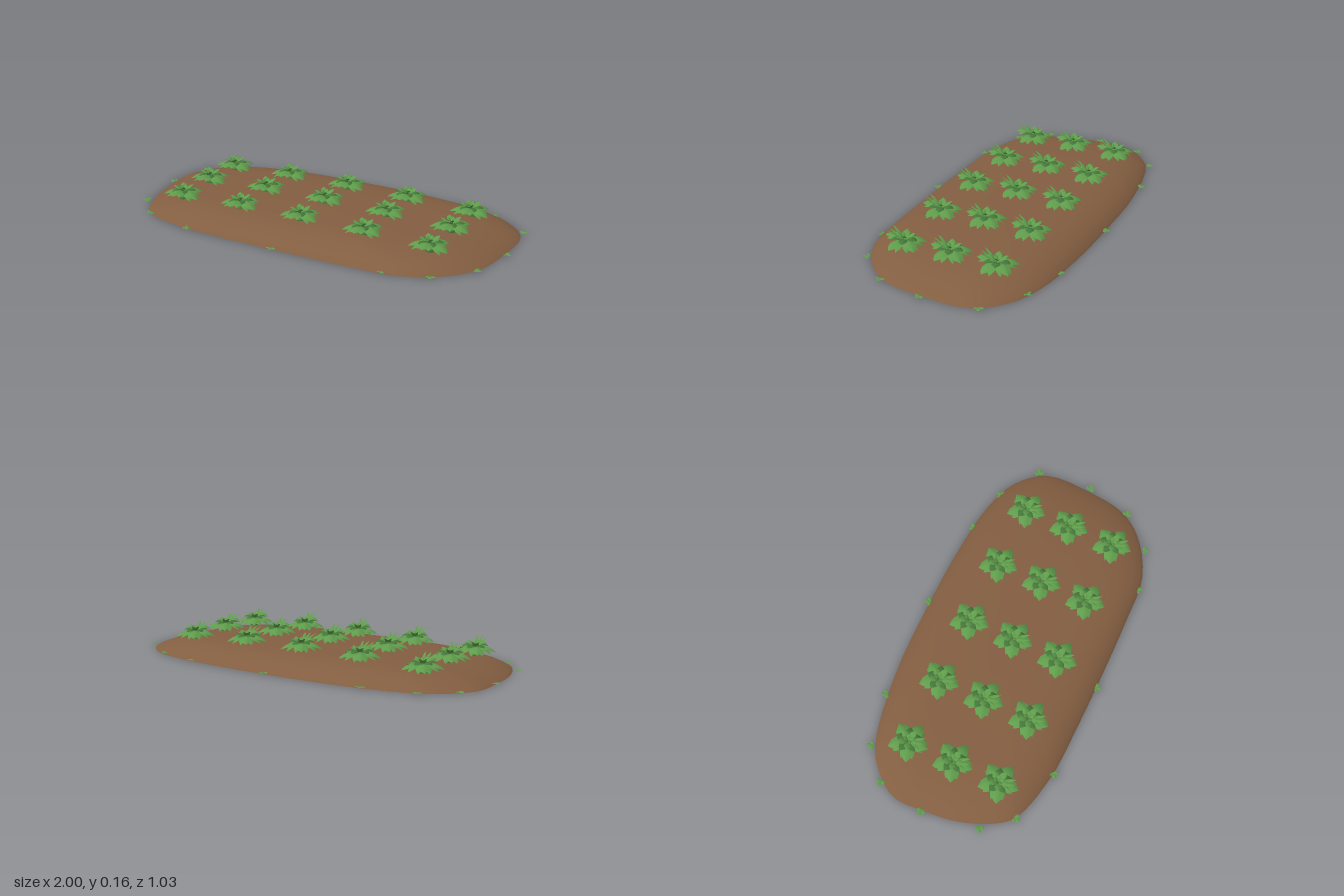
import * as THREE from 'three';
import { mergeGeometries } from 'three/addons/utils/BufferGeometryUtils.js';

const soil = new THREE.MeshStandardMaterial({ color: 0x835e41, name: 'soil brown' });
const leafGreen = new THREE.MeshStandardMaterial({ color: 0x5f9c4b, name: 'leaf green', side: THREE.DoubleSide });
const darkGreen = new THREE.MeshStandardMaterial({ color: 0x44763a, name: 'dark green', side: THREE.DoubleSide });

// Rounded outline of the soil bed, as x, z pairs
const outline = [
  [0.955, 0], [0.95, -0.24], [0.83, -0.385], [0.645, -0.455], [0.375, -0.487], [0, -0.495],
  [-0.4, -0.48], [-0.785, -0.4], [-0.92, -0.29], [-0.975, -0.19], [-0.972, -0.05], [-0.95, 0.13],
  [-0.88, 0.305], [-0.81, 0.385], [-0.56, 0.455], [-0.29, 0.47], [0.35, 0.47], [0.62, 0.45],
  [0.83, 0.33], [0.92, 0.2],
];

// Low dome: rings of the outline shrunk toward the centre, plus a flat underside
function moundGeometry() {
  const curve = new THREE.CatmullRomCurve3(outline.map(([x, z]) => new THREE.Vector3(x, 0, z)), true);
  const ring = curve.getPoints(80).slice(0, 80);
  const n = ring.length;
  const profile = [[0.25, 0.084], [0.5, 0.08], [0.68, 0.072], [0.82, 0.058], [0.92, 0.034], [0.98, 0.012], [1, 0]];
  const pos = [0, 0.085, 0];
  const index = [];
  for (const [t, y] of profile) for (const p of ring) pos.push(p.x * t, y, p.z * t);
  for (let i = 0; i < n; i++) {
    const j = (i + 1) % n;
    index.push(0, 1 + i, 1 + j);
    for (let k = 0; k < profile.length - 1; k++) {
      const a = 1 + k * n, b = a + n;
      index.push(a + i, b + i, b + j, a + i, b + j, a + j);
    }
  }
  // underside has its own vertices so the rim stays sharp
  const base = pos.length / 3;
  pos.push(0, 0, 0);
  for (const p of ring) pos.push(p.x, 0, p.z);
  for (let i = 0; i < n; i++) index.push(base, base + 1 + (i + 1) % n, base + 1 + i);
  const g = new THREE.BufferGeometry();
  g.setAttribute('position', new THREE.Float32BufferAttribute(pos, 3));
  g.setIndex(index);
  g.computeVertexNormals();
  return g;
}

// Arched leaf growing along +z from the origin: height = rise*u - droop*u^2
function leaf(length, width, rise, droop, angle, y = 0) {
  const g = new THREE.PlaneGeometry(2, 1, 4, 7);
  g.rotateX(-Math.PI / 2);
  const p = g.attributes.position;
  for (let i = 0; i < p.count; i++) {
    const s = p.getX(i), u = p.getZ(i) + 0.5;
    const half = width * 0.5 * (0.1 * (1 - u) + Math.sin(Math.PI * Math.pow(u, 1.35)));
    p.setXYZ(i, s * half, rise * u - droop * u * u - Math.abs(s) * half * 0.35, length * u);
  }
  g.computeVertexNormals();
  g.rotateY(angle);
  g.translate(0, y, 0);
  return g;
}

function plantGeometries() {
  const outer = [], middle = [];
  for (let i = 0; i < 5; i++) {
    const a = i * Math.PI * 2 / 5;
    const lift = i === 0 ? 0.025 : 0;
    // five large drooping leaves, each with two side leaflets
    outer.push(leaf(0.106, 0.056, 0.07 + lift, 0.085, a, 0.035));
    for (const side of [-1, 1]) {
      outer.push(leaf(0.09, 0.036, 0.06 + lift, 0.08, a + side * 0.32, 0.033));
    }
    // shorter leaves in the gaps, then the crown
    middle.push(leaf(0.066, 0.04, 0.075, 0.065, a + Math.PI / 5, 0.036));
    outer.push(leaf(0.052, 0.032, 0.06, 0.03, a, 0.04));
    outer.push(leaf(0.026, 0.018, 0.04, 0.015, a + Math.PI / 5, 0.045));
  }
  // slim young leaves reaching up toward the front
  for (const a of [-0.35, 0.05, 0.4]) outer.push(leaf(0.085, 0.014, 0.075, 0.025, a, 0.035));
  return [mergeGeometries(outer), mergeGeometries(middle)];
}

export function createModel() {
  const model = new THREE.Group();
  model.name = 'cropBed';
  const add = (parent, geometry, material, name) => {
    const mesh = new THREE.Mesh(geometry, material);
    mesh.name = name;
    parent.add(mesh);
    return mesh;
  };

  add(model, moundGeometry(), soil, 'soilMound');

  // Three rows of five plants
  const [outer, middle] = plantGeometries();
  const bulb = new THREE.SphereGeometry(0.028, 14, 10);
  for (const z of [-0.245, -0.002, 0.242]) {
    for (const x of [-0.705, -0.357, -0.011, 0.335, 0.682]) {
      const plant = new THREE.Group();
      plant.name = 'plant';
      plant.position.set(x, 0.077 - 0.03 * x * x - 0.1 * z * z, z);
      add(plant, outer, leafGreen, 'outerLeaves');
      add(plant, middle, darkGreen, 'middleLeaves');
      add(plant, bulb, leafGreen, 'bulb').position.y = 0.02;
      model.add(plant);
    }
  }

  // Small sprouts around the rim
  const sprout = mergeGeometries([
    leaf(0.036, 0.02, 0.016, 0.012, 0.1),
    leaf(0.03, 0.018, 0.018, 0.016, 1.1),
    leaf(0.026, 0.016, 0.018, 0.014, -0.9),
  ]);
  const spots = [
    [-0.51, -0.465], [0.03, -0.49], [0.495, -0.465], [0.735, -0.41], [0.935, -0.28], [0.96, 0],
    [0.905, 0.24], [0.755, 0.395], [0.53, 0.45], [-0.045, 0.468], [-0.53, 0.455], [-0.815, 0.375],
    [-0.925, 0.24], [-0.968, -0.05], [-0.92, -0.295], [-0.78, -0.41],
  ];
  spots.forEach(([x, z], i) => {
    const s = add(model, sprout, leafGreen, 'edgeSprout');
    s.position.set(x, 0.006, z);
    s.rotation.y = Math.atan2(x, z * 2) + 0.5 * Math.sin(i * 2.4);
  });
  return model;
}
